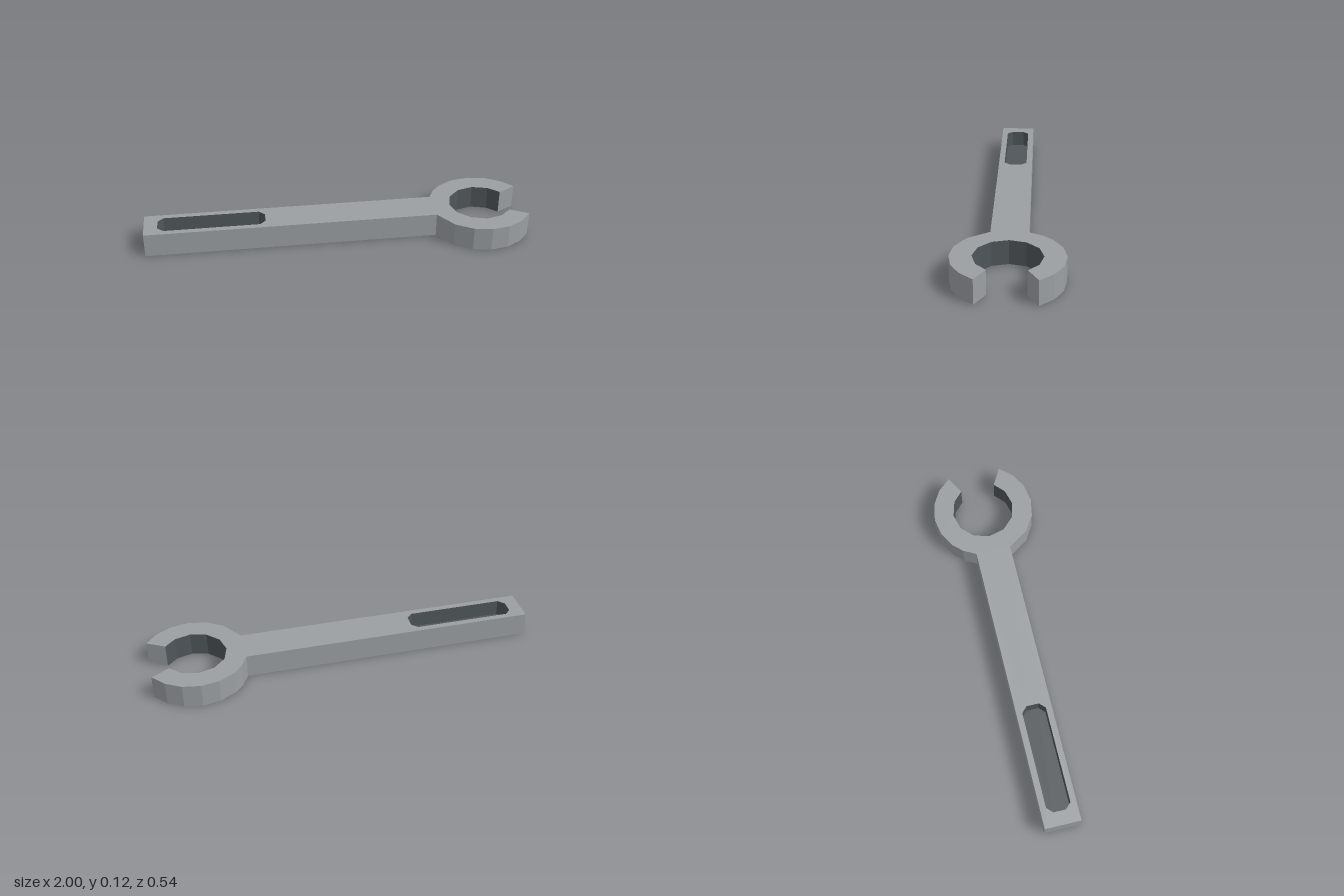
import * as THREE from 'three';

const HEIGHT = 0.125, FLOOR = 0.04, HALF_WIDTH = 0.093;
const HEAD_X = 0.77, OUTER_R = 0.27, INNER_R = 0.165;

// Plan points are (x, -z), counter-clockwise around solid material.
const arc = (radius, angles) => angles.map((a) => {
  const t = THREE.MathUtils.degToRad(a);
  return new THREE.Vector2(HEAD_X + radius * Math.cos(t), radius * Math.sin(t));
});

// Flat faced upright wall along a line of plan points
function wallGeometry(points, y0, y1) {
  const pos = [];
  for (let i = 0; i < points.length - 1; i++) {
    const a = points[i], b = points[i + 1];
    const quad = [[a, y0], [b, y0], [b, y1], [a, y0], [b, y1], [a, y1]];
    quad.forEach(([p, y]) => pos.push(p.x, y, -p.y));
  }
  const g = new THREE.BufferGeometry();
  g.setAttribute('position', new THREE.Float32BufferAttribute(pos, 3));
  g.computeVertexNormals();
  return g;
}

// Horizontal face, looking up or down
function capGeometry(points, y, up = true, hole = null) {
  const shape = new THREE.Shape(up ? points : points.map((p) => new THREE.Vector2(p.x, -p.y)));
  if (hole) shape.holes.push(new THREE.Path(hole));
  return new THREE.ShapeGeometry(shape).rotateX(up ? -Math.PI / 2 : Math.PI / 2).translate(0, y, 0);
}

export function createModel() {
  const steel = new THREE.MeshStandardMaterial({ color: 0x9b9fa2 });
  steel.name = 'steel grey';
  const dark = new THREE.MeshStandardMaterial({ color: 0x50565a });
  dark.name = 'dark grey';

  const model = new THREE.Group();
  model.name = 'wrench';
  const add = (name, geometry, material) => {
    const mesh = new THREE.Mesh(geometry, material);
    mesh.name = name;
    model.add(mesh);
  };

  // Outline: handle, lower jaw, bore, upper jaw
  const neckX = HEAD_X - Math.sqrt(OUTER_R ** 2 - HALF_WIDTH ** 2);
  const lowerJaw = [
    new THREE.Vector2(-1, -HALF_WIDTH),
    new THREE.Vector2(neckX, -HALF_WIDTH),
    ...arc(OUTER_R, [-132, -110, -90, -70, -51, -32]),
  ];
  const bore = arc(INNER_R, [-34, -60, -90, -120, -150, -180, -210, -240, -270, -300, -326]);
  const upperJaw = [
    ...arc(OUTER_R, [32, 51, 70, 90, 110, 130, 144]),
    new THREE.Vector2(neckX, HALF_WIDTH),
    new THREE.Vector2(-1, HALF_WIDTH),
  ];
  const outline = [...lowerJaw, ...bore, ...upperJaw];

  // Recess in the handle, clockwise so that its walls face inward
  const [x0, x1, w, c] = [-0.93, -0.375, 0.062, 0.03];
  const slot = [
    [x0, -w + c], [x0, w - c], [x0 + c, w], [x1 - c, w],
    [x1, w - c], [x1, -w + c], [x1 - c, -w], [x0 + c, -w],
  ].map(([x, y]) => new THREE.Vector2(x, y));

  // Body
  add('topFace', capGeometry(outline, HEIGHT, true, slot), steel);
  add('bottomFace', capGeometry(outline, 0, false), steel);
  add('lowerJawAndHandleSide', wallGeometry([...lowerJaw, bore[0]], 0, HEIGHT), steel);
  add('upperJawAndHandleSide',
    wallGeometry([bore[bore.length - 1], ...upperJaw, lowerJaw[0]], 0, HEIGHT), steel);

  // Dark bore and handle recess
  add('jawBore', wallGeometry(bore, 0, HEIGHT), dark);
  add('recessWall', wallGeometry([...slot, slot[0]], FLOOR, HEIGHT), dark);
  add('recessFloor', capGeometry(slot, FLOOR), dark);

  return model;
}
